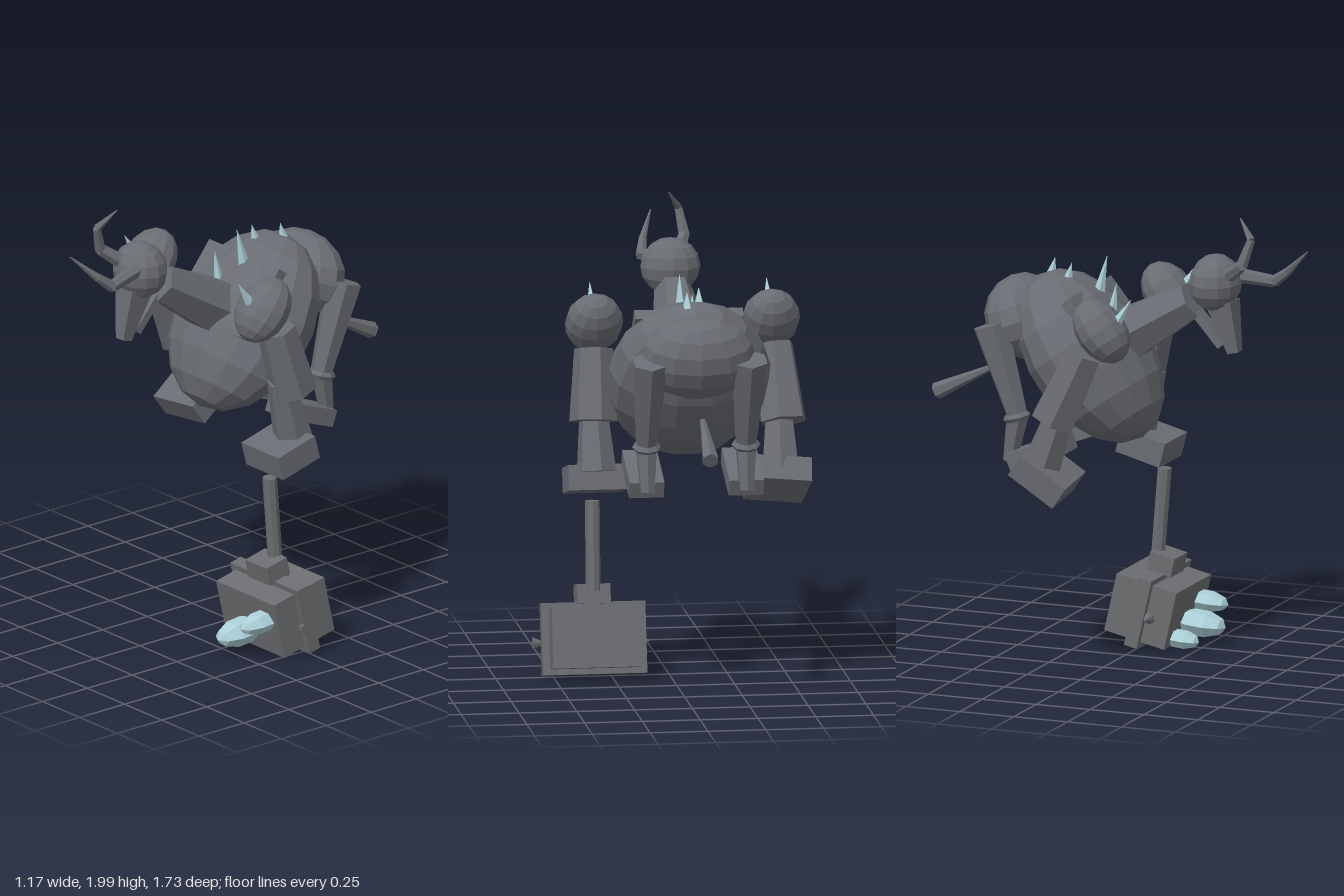
import * as THREE from 'three';

const mat = (name, hex) => {
  const m = new THREE.MeshStandardMaterial({ color: hex, flatShading: true });
  m.name = name;
  return m;
};
const V = (a) => new THREE.Vector3(...a);
const CX = -0.065; // centre line of the beast

export function createModel() {
  const root = new THREE.Group();
  root.name = 'hornedBeast';
  const stone = mat('stone hide', 0x696c72);
  const iron = mat('hammer iron', 0x6b6d70);
  const crystal = mat('pale crystal', 0xacd0d8);

  const add = (parent, name, geo, material, pos, rot = [0, 0, 0], scale = [1, 1, 1]) => {
    const m = new THREE.Mesh(geo, material);
    m.name = name;
    m.position.set(...pos);
    m.rotation.set(...rot);
    m.scale.set(...scale);
    parent.add(m);
    return m;
  };
  const blob = (name, pos, radii, tilt = 0, seg = 12, rings = 8) =>
    add(root, name, new THREE.SphereGeometry(1, seg, rings), stone, pos, [tilt, 0, 0], radii);
  const box = (parent, name, size, material, pos, rot) =>
    add(parent, name, new THREE.BoxGeometry(...size), material, pos, rot);
  // tapered rod from a (radius ra) to b (radius rb)
  const rod = (parent, name, a, b, ra, rb, sides = 6, material = stone, turn = 0) => {
    const p = V(a), q = V(b), d = q.clone().sub(p);
    const geo = new THREE.CylinderGeometry(rb, ra, d.length(), sides);
    geo.rotateY(turn);
    const m = add(parent, name, geo, material, p.clone().add(q).multiplyScalar(0.5).toArray());
    m.quaternion.setFromUnitVectors(new THREE.Vector3(0, 1, 0), d.normalize());
    return m;
  };

  // torso, rump and chest plate
  blob('torso', [CX, 1.33, -0.135], [0.355, 0.415, 0.24], -0.63, 14, 9);
  blob('rump', [CX, 1.48, -0.44], [0.25, 0.185, 0.155], -0.35);
  box(root, 'chestPlate', [0.47, 0.34, 0.05], stone, [CX, 1.485, -0.05], [-0.68, 0, 0]);

  // neck, head and muzzle
  rod(root, 'neck', [CX, 1.42, 0.0], [CX, 1.62, 0.34], 0.135, 0.085, 6, stone, Math.PI / 6);
  blob('head', [CX, 1.705, 0.445], [0.13, 0.125, 0.112], 0, 12, 8);
  rod(root, 'snout', [CX, 1.62, 0.48], [CX, 1.405, 0.535], 0.08, 0.035, 4, stone, Math.PI / 4);
  box(root, 'lowerJaw', [0.06, 0.18, 0.035], stone, [CX, 1.5, 0.42], [-0.72, 0, 0]);

  // horns as chains of tapering rods
  const horns = {
    leftHorn: [[-0.01, 1.735, 0.5], [0.03, 1.71, 0.68], [0.015, 1.765, 0.75], [-0.035, 1.87, 0.86]],
    rightHorn: [[-0.1, 1.735, 0.5], [-0.145, 1.81, 0.6], [-0.125, 1.92, 0.635], [-0.075, 2.0, 0.565]],
  };
  const hornR = [0.034, 0.026, 0.018, 0.003];
  for (const [name, pts] of Object.entries(horns)) {
    const g = new THREE.Group();
    g.name = name;
    root.add(g);
    for (let i = 0; i < 3; i++) rod(g, 'hornSegment', pts[i], pts[i + 1], hornR[i], hornR[i + 1]);
  }

  // shoulders with crystal spikes
  for (const [side, x] of [['left', 0.315], ['right', -0.45]]) {
    blob(side + 'Shoulder', [x, 1.54, 0.075], [0.126, 0.152, 0.104], -0.66);
    rod(root, side + 'ShoulderSpike', [x, 1.56, 0.13], [x, 1.69, 0.212], 0.03, 0.001, 5, crystal);
  }

  // left arm reaches down, right arm swings back
  rod(root, 'leftUpperArm', [0.325, 1.44, 0.01], [0.338, 1.14, -0.075], 0.085, 0.105, 6, stone, Math.PI / 6);
  rod(root, 'leftForearm', [0.33, 1.2, -0.01], [0.325, 0.92, -0.085], 0.06, 0.088);
  box(root, 'leftHand', [0.25, 0.11, 0.21], stone, [0.325, 0.877, -0.015], [0.26, 0, 0]);
  rod(root, 'rightUpperArm', [-0.455, 1.44, 0.0], [-0.475, 1.13, -0.14], 0.085, 0.105, 6, stone, Math.PI / 6);
  rod(root, 'rightForearm', [-0.46, 1.2, -0.1], [-0.455, 0.92, -0.2], 0.06, 0.09);
  box(root, 'rightHand', [0.255, 0.11, 0.24], stone, [-0.445, 0.89, -0.18], [0.6, 0.08, 0.06]);

  // hind legs
  for (const s of [1, -1]) {
    const g = new THREE.Group();
    g.name = s > 0 ? 'leftHindLeg' : 'rightHindLeg';
    root.add(g);
    const x = CX + s * 0.215;
    rod(g, 'thigh', [x, 1.48, -0.51], [x, 1.09, -0.385], 0.082, 0.048);
    add(g, 'kneeRing', new THREE.TorusGeometry(0.045, 0.018, 5, 8), stone, [x, 1.085, -0.388], [Math.PI / 2 - 0.25, 0, 0]);
    rod(g, 'shin', [x, 1.09, -0.385], [x, 0.89, -0.42], 0.05, 0.032);
    box(g, 'foot', [0.15, 0.075, 0.27], stone, [x, 0.945, -0.275], [-0.36, 0, 0]);
  }

  // loose tail club
  rod(root, 'tail', [CX, 1.235, -0.6], [CX, 1.11, -0.85], 0.013, 0.037);

  // crystal spikes down the back
  const spikes = [
    [-0.1, 1.48, -0.03, 1.67, 0.0], [-0.035, 1.57, -0.115, 1.77, -0.07],
    [-0.1, 1.63, -0.235, 1.74, -0.207], [-0.035, 1.64, -0.335, 1.74, -0.312],
  ];
  spikes.forEach(([x, y0, z0, y1, z1]) =>
    rod(root, 'backSpike', [x, y0, z0], [x, y1, z1], 0.032, 0.001, 5, crystal));

  // hammer hanging below the left hand
  const hammer = new THREE.Group();
  hammer.name = 'hammer';
  root.add(hammer);
  rod(hammer, 'handle', [0.326, 0.38, 0.016], [0.326, 0.768, 0.047], 0.032, 0.032, 8, iron);
  const head = new THREE.Group();
  head.name = 'hammerHead';
  head.position.set(0.325, 0.173, 0.015);
  head.rotation.x = 0.225;
  hammer.add(head);
  box(head, 'block', [0.39, 0.26, 0.285], iron, [0, 0, 0]);
  box(head, 'band', [0.45, 0.31, 0.06], iron, [0, 0, 0]);
  box(head, 'collar', [0.145, 0.085, 0.115], iron, [0, 0.19, 0]);
  for (const x of [-0.222, 0.228])
    add(head, 'sideStud', new THREE.ConeGeometry(0.028, 0.06, 8), iron, [x, -0.015, 0.045], [0, 0, Math.PI / 2]);

  // crystals growing from the striking face
  const crystals = [
    [0.222, 0.047, 0.165, 0.052, 0.042, 0.085],
    [0.323, 0.1, 0.21, 0.075, 0.06, 0.122],
    [0.437, 0.172, 0.185, 0.06, 0.048, 0.112],
  ];
  for (const [x, y, z, rx, ry, len] of crystals) {
    const geo = new THREE.SphereGeometry(1, 6, 5).rotateX(Math.PI / 2);
    add(hammer, 'crystal', geo, crystal, [x, y, z], [0.1, 0, 0], [rx, ry, len]);
  }
  return root;
}
